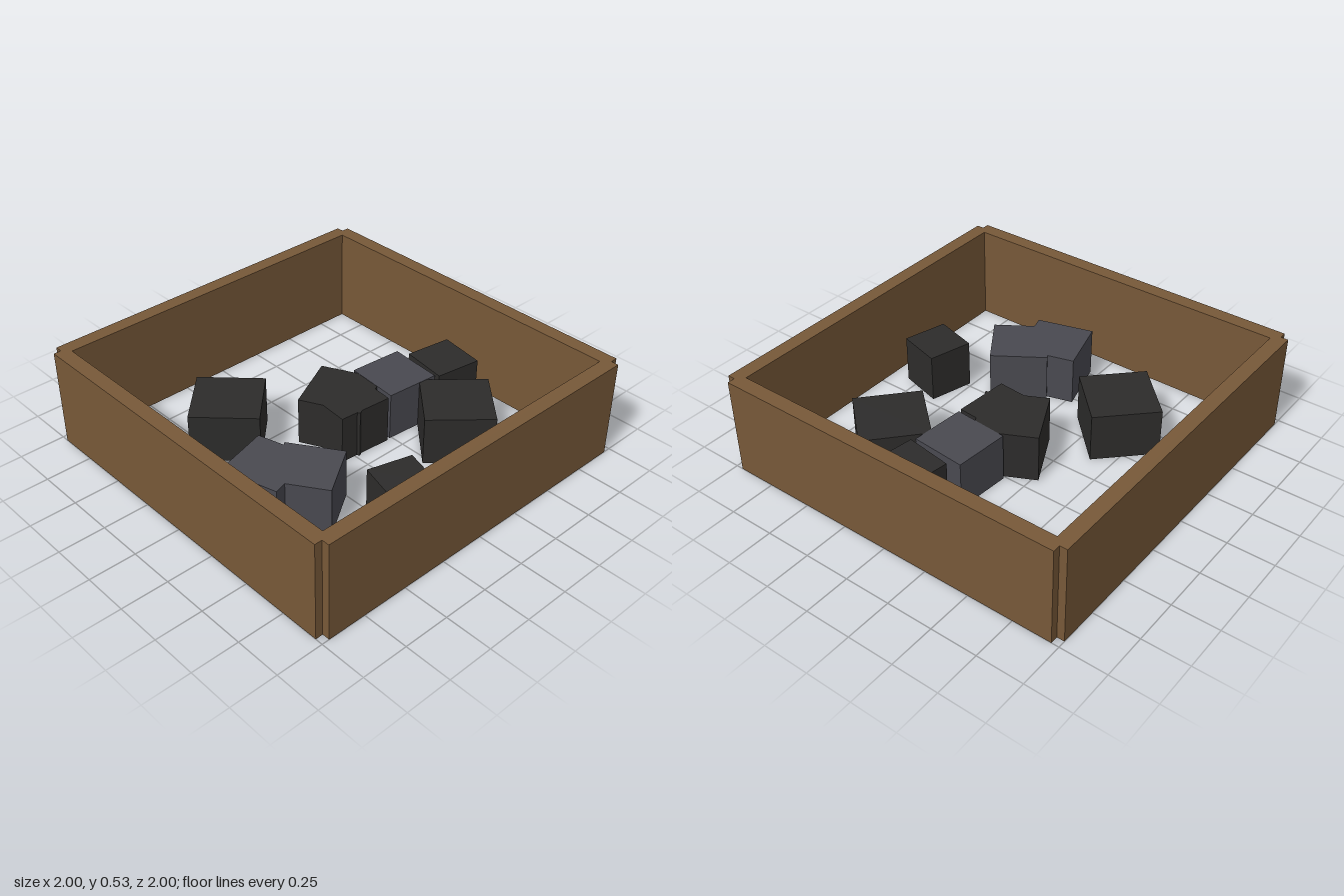
import * as THREE from 'three';

export function createModel() {
  const group = new THREE.Group();
  const wood = new THREE.MeshStandardMaterial({ color: 0x775838 });
  const coal = new THREE.MeshStandardMaterial({ color: 0x2d2c2b });
  const slate = new THREE.MeshStandardMaterial({ color: 0x494950 });

  // Box standing on the ground, turned about its vertical axis
  function addBox(name, material, w, h, d, x, z, turn) {
    const mesh = new THREE.Mesh(new THREE.BoxGeometry(w, h, d), material);
    mesh.name = name;
    mesh.position.set(x, h / 2, z);
    mesh.rotation.y = turn;
    group.add(mesh);
  }

  // Four planks, stopping short of the corners to leave small notches
  const wallHeight = 0.533, wallLength = 1.92, wallThickness = 0.08;
  ['frontWall', 'leftWall', 'backWall', 'rightWall'].forEach((name, i) => {
    const turn = i * Math.PI / 2;
    addBox(name, wood, wallLength, wallHeight, wallThickness,
      0.96 * Math.sin(turn), 0.96 * Math.cos(turn), turn);
  });

  // Loose blocks: material, width, x, z, turn
  const blockHeight = 0.266;
  const blocks = [
    [coal, 0.26, 0.10, -0.70, -0.15],
    [coal, 0.36, 0.415, -0.465, -0.73],
    [coal, 0.335, -0.055, -0.095, 0.464],
    [coal, 0.30, 0.01, -0.08, -0.083],
    [coal, 0.36, -0.39, 0.377, 0.785],
    [coal, 0.245, 0.667, 0.187, -0.27],
    [slate, 0.30, 0.03, -0.40, -0.083],
    [slate, 0.306, 0.308, 0.457, 0.588],
    [slate, 0.314, 0.16, 0.58, 0.272],
  ];
  blocks.forEach(([material, width, x, z, turn], i) => {
    // The slate blocks rise a hair above the dark ones they overlap
    const h = blockHeight + (material === slate ? 0.002 : 0);
    addBox((material === slate ? 'slateBlock' : 'coalBlock') + (i + 1), material, width, h, width, x, z, turn);
  });

  return group;
}
